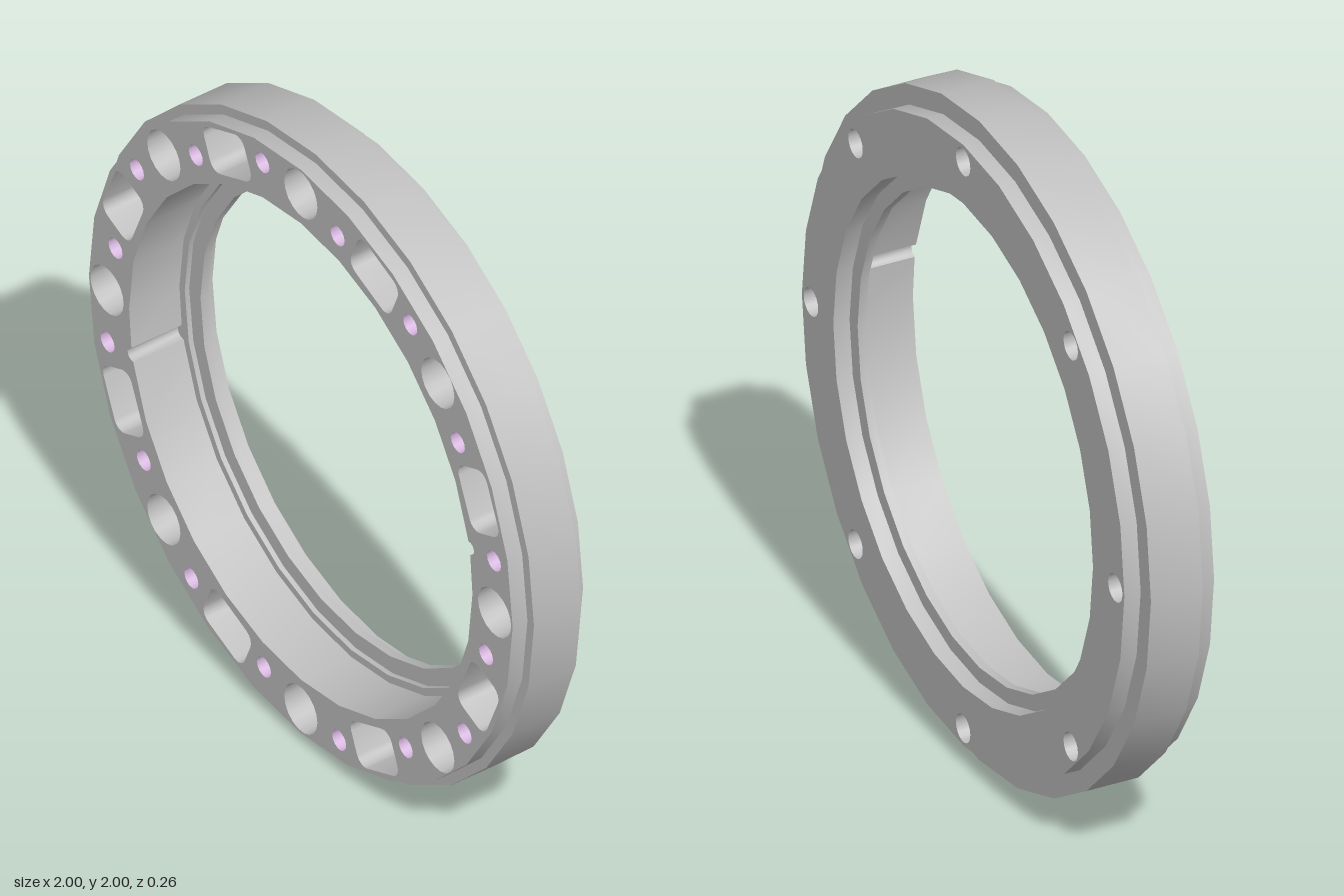
import * as THREE from 'three';
import { mergeGeometries, toCreasedNormals } from 'three/addons/utils/BufferGeometryUtils.js';

const SIDES = 28;
const FRONT = 0.13, BACK = -0.13;

// Counter-clockwise circle as a list of points
function circle(r, cx = 0, cy = 0, n = 18) {
  return Array.from({ length: n }, (_, i) => {
    const a = (i / n) * Math.PI * 2;
    return new THREE.Vector2(cx + r * Math.cos(a), cy + r * Math.sin(a));
  });
}
const ring = (r) => circle(r, 0, 0, SIDES);

// Strip joining a front contour to a back contour of equal point count
function wall(a, za, b, zb, inward = false) {
  const pos = [];
  const put = (p, z) => pos.push(p.x, p.y, z);
  a.forEach((_, i) => {
    const j = (i + 1) % a.length;
    const quad = [[b[i], zb], [b[j], zb], [a[j], za], [b[i], zb], [a[j], za], [a[i], za]];
    if (inward) quad.reverse();
    quad.forEach(([p, z]) => put(p, z));
  });
  const geo = new THREE.BufferGeometry();
  geo.setAttribute('position', new THREE.Float32BufferAttribute(pos, 3));
  return toCreasedNormals(geo, 0.7);
}

// Flat plate outline with holes, facing forward or backward
function face(outline, holes, z, backward = false) {
  const shape = new THREE.Shape(outline);
  shape.holes = holes.map((h) => new THREE.Path(h));
  const geo = new THREE.ShapeGeometry(shape);
  if (backward) {
    geo.index.array.reverse();
    geo.attributes.normal.array.forEach((v, i, arr) => { arr[i] = -v; });
  }
  geo.translate(0, 0, z);
  geo.deleteAttribute('uv');
  return geo.toNonIndexed();
}

// Rounded rectangle centred on the ring at a given angle
function pocketOutline(angle) {
  const hw = 0.1, hh = 0.07, r = 0.035, pts = [];
  [[1, 1], [-1, 1], [-1, -1], [1, -1]].forEach(([sx, sy], q) => {
    for (let k = 0; k <= 4; k++) {
      const t = (q + k / 4) * Math.PI / 2;
      pts.push(new THREE.Vector2(sx * (hw - r) + r * Math.cos(t), 0.88 + sy * (hh - r) + r * Math.sin(t)));
    }
  });
  return pts.map((p) => p.rotateAround(new THREE.Vector2(), angle - Math.PI / 2));
}

// Front bore with two small half-round keyways on opposite sides
function boreOutline(r) {
  const pts = [];
  ring(r).forEach((p, i) => {
    pts.push(p);
    if (i % (SIDES / 2) === 0) {
      const a = 0.192 + (i ? Math.PI : 0);
      for (let k = 0; k <= 6; k++) {
        const t = a - Math.PI / 2 + (k / 6) * Math.PI;
        pts.push(new THREE.Vector2(r * Math.cos(a) + 0.022 * Math.cos(t), r * Math.sin(a) + 0.022 * Math.sin(t)));
      }
    }
  });
  return pts;
}

export function createModel() {
  const metal = new THREE.MeshStandardMaterial({ color: 0xbfbfbf });
  metal.name = 'greyMetal';
  const lilac = new THREE.MeshStandardMaterial({ color: 0xd6b6de });
  lilac.name = 'lilacThread';

  const model = new THREE.Group();
  model.name = 'flangeRing';
  const add = (name, geos, material = metal) => {
    const mesh = new THREE.Mesh(mergeGeometries(geos), material);
    mesh.name = name;
    mesh.position.y = 1;
    model.add(mesh);
  };

  const bore = boreOutline(0.786);
  const frontHoles = [bore], backHoles = [ring(0.757)];
  const bolts = [], pockets = [], threads = [], tips = [];

  for (let i = 0; i < 8; i++) {
    // Stepped bolt hole right through the ring
    const a = (i * Math.PI) / 4;
    const x = 0.887 * Math.cos(a), y = 0.887 * Math.sin(a);
    const wide = circle(0.076, x, y), narrow = circle(0.042, x, y);
    bolts.push(wall(wide, FRONT, wide, 0, true), wall(wide, 0, narrow, -0.04, true),
      wall(narrow, -0.04, narrow, BACK, true));
    frontHoles.push(wide);
    backHoles.push(narrow);

    // Blind rounded pocket
    const pocket = pocketOutline(a + Math.PI / 8);
    pockets.push(wall(pocket, FRONT, pocket, -0.02, true), face(pocket, [], -0.02));
    frontHoles.push(pocket);
  }

  // Small threaded holes with drilled tips, on two alternating radii
  for (let i = 0; i < 16; i++) {
    const a = Math.PI / 2 - ((i + 0.5) * Math.PI) / 8;
    const r = i % 2 ? 0.902 : 0.865;
    const x = r * Math.cos(a), y = r * Math.sin(a);
    const hole = circle(0.032, x, y, 14);
    threads.push(wall(hole, FRONT, hole, 0.03, true));
    tips.push(wall(hole, 0.03, circle(0.0005, x, y, 14), 0.01, true));
    frontHoles.push(hole);
  }

  // Flat front and back faces
  add('frontFace', [face(ring(0.97), frontHoles, FRONT)]);
  add('backFace', [face(ring(0.94), backHoles, BACK, true)]);

  // Outer rim: narrow front shoulder, wide middle band, narrower back shoulder
  add('outerRim', [
    wall(ring(0.97), FRONT, ring(0.97), 0.08),
    face(ring(1), [ring(0.97)], 0.08),
    wall(ring(1), 0.08, ring(1), -0.08),
    face(ring(1), [ring(0.94)], -0.08, true),
    wall(ring(0.94), -0.08, ring(0.94), BACK),
  ]);

  // Inner bore: keyed wall, two shelves, thin lip and back recess
  add('innerBore', [
    wall(bore, FRONT, bore, -0.04, true),
    face(bore, [ring(0.762)], -0.04),
    wall(ring(0.762), -0.04, ring(0.762), -0.055, true),
    face(ring(0.762), [ring(0.71)], -0.055),
    wall(ring(0.71), -0.055, ring(0.71), -0.08, true),
    face(ring(0.757), [ring(0.71)], -0.08, true),
    wall(ring(0.757), -0.08, ring(0.757), BACK, true),
  ]);

  add('boltHoles', bolts);
  add('pockets', pockets);
  add('threadedHoles', threads, lilac);
  add('threadedHoleTips', tips);
  return model;
}
